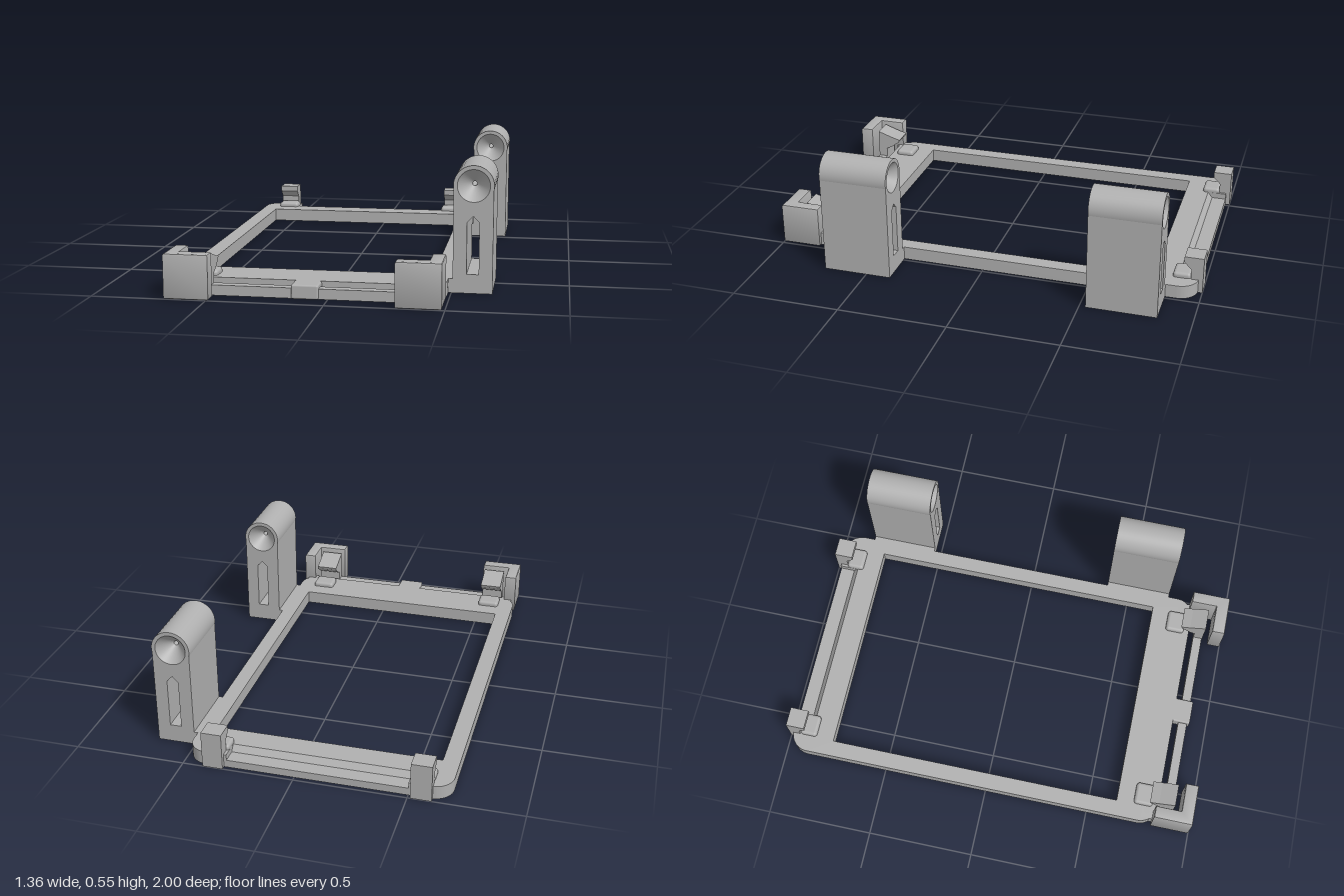
import * as THREE from 'three';
import { toCreasedNormals } from 'three/addons/utils/BufferGeometryUtils.js';
import { RoundedBoxGeometry } from 'three/addons/geometries/RoundedBoxGeometry.js';

const grey = new THREE.MeshStandardMaterial({ color: 0xb0b0b0 });
grey.name = 'grey plastic';

const polygon = (pts) => new THREE.Shape(pts.map(([a, b]) => new THREE.Vector2(a, b)));

export function createModel() {
  const model = new THREE.Group();
  model.name = 'clipFrame';

  const add = (name, geometry, x = 0, y = 0, z = 0) => {
    const mesh = new THREE.Mesh(geometry, grey);
    mesh.name = name;
    mesh.position.set(x, y, z);
    model.add(mesh);
    return mesh;
  };
  // Box given by its minimum and maximum corners
  const box = (name, x0, x1, y0, y1, z0, z1, r = 0) => {
    const s = [x1 - x0, y1 - y0, z1 - z0];
    const g = r ? new RoundedBoxGeometry(...s, 2, r) : new THREE.BoxGeometry(...s);
    return add(name, g, (x0 + x1) / 2, (y0 + y1) / 2, (z0 + z1) / 2);
  };
  // Plan outline drawn as (x, -z), raised along y
  const raise = (shape, height, bevel = 0) => {
    const g = new THREE.ExtrudeGeometry(shape, {
      depth: height - 2 * bevel, bevelEnabled: bevel > 0, bevelSize: bevel,
      bevelThickness: bevel, bevelOffset: -bevel, bevelSegments: 2, curveSegments: 10,
    });
    g.translate(0, 0, bevel).rotateX(-Math.PI / 2);
    return toCreasedNormals(g, 0.6);
  };
  // Side outline given as (z, y), stretched from x0 to x1
  const sweep = (name, pts, x0, x1) => {
    const g = new THREE.ExtrudeGeometry(polygon(pts), { depth: x1 - x0, bevelEnabled: false });
    return add(name, g.rotateY(-Math.PI / 2), x1, 0, 0);
  };

  // Flat frame with rounded corners and a notch at the rear
  const L = -0.682, R = 0.487, B = 0.98, F = -0.832, r = 0.085, T = 0.062;
  const outline = new THREE.Shape();
  outline.moveTo(L + r, F);
  outline.lineTo(R - r, F);
  outline.absarc(R - r, F + r, r, -Math.PI / 2, 0, false);
  outline.lineTo(R, B - r);
  outline.absarc(R - r, B - r, r, 0, Math.PI / 2, false);
  outline.lineTo(0.305, B);
  outline.lineTo(0.305, 0.89);
  outline.lineTo(-0.5, 0.89);
  outline.lineTo(-0.5, B);
  outline.lineTo(L + r, B);
  outline.absarc(L + r, B - r, r, Math.PI / 2, Math.PI, false);
  outline.lineTo(L, F + r);
  outline.absarc(L + r, F + r, r, Math.PI, Math.PI * 1.5, false);
  outline.holes.push(polygon([[-0.607, -0.633], [-0.607, 0.778], [0.417, 0.778], [0.417, -0.633]]));
  add('frame', raise(outline, T));

  // Lowered rear ledge with a sloping back
  sweep('rearLedge', [[-0.98, 0], [-0.89, 0], [-0.89, T], [-0.912, 0.035], [-0.98, 0.035]], -0.5, 0.305);

  // Springy front bar and its middle tab
  box('frontBar', -0.605, 0.41, 0, 0.045, 0.86, 0.903);
  box('frontTab', -0.155, -0.038, 0, T, 0.82, 0.915, 0.008);

  // Clips and pads, mirrored about the centre of the frame
  const cx = (L + R) / 2;
  for (const [side, s] of [['left', 1], ['right', -1]]) {
    const span = (inner, outer) => [cx + s * inner, cx + s * outer].sort((a, b) => a - b);

    sweep(side + 'FrontClip', [[0.86, 0], [0.905, 0], [0.905, 0.183], [0.83, 0.157],
      [0.787, 0.145], [0.792, 0.132], [0.835, 0.1], [0.86, 0.09]], ...span(0.403, 0.507));
    sweep(side + 'RearClip', [[-1, 0], [-0.945, 0], [-0.945, 0.11], [-0.912, 0.143],
      [-0.912, 0.17], [-1, 0.17]], ...span(0.415, 0.507));

    for (const [end, z0, z1] of [['Front', 0.714, 0.805], ['Rear', -0.945, -0.863]]) {
      box(side + end + 'Pad', ...span(0.403, 0.507), 0.04, 0.085, z0, z1, 0.015);
    }

    // L-shaped corner guard and the short neck joining it to the frame
    const guard = [[0.585, -0.815], [0.585, -0.998], [0.392, -0.998], [0.392, -0.937],
      [0.528, -0.937], [0.528, -0.815]].map(([x, y]) => [cx + s * x, y]);
    add(side + 'CornerGuard', raise(polygon(guard), 0.195, 0.008));
    box(side + 'GuardNeck', ...span(0.515, 0.565), 0, T, 0.76, 0.845);
  }

  // Two slotted posts, each carrying a barrel with conical ends
  const px = 0.59, py = 0.465, radius = 0.087, len = 0.317;
  for (const [end, z] of [['front', 0.543], ['rear', -0.687]]) {
    const post = new THREE.Shape();
    post.moveTo(px - 0.085, 0);
    post.lineTo(px + 0.085, 0);
    post.lineTo(px + 0.085, py);
    post.lineTo(px + 0.078, py);
    post.absarc(px, py, 0.078, 0, Math.PI, true);
    post.lineTo(px - 0.085, py);
    post.holes.push(polygon([[0.564, 0.083], [0.564, 0.308], [px, 0.335], [0.616, 0.308], [0.616, 0.083]]));
    const body = new THREE.ExtrudeGeometry(post, { depth: len, bevelEnabled: false, curveSegments: 24 });
    add(end + 'Post', toCreasedNormals(body, 0.6), 0, 0, z - len / 2);

    const h = len / 2, d = h - 0.07;
    const profile = [[radius, -h], [radius, h], [0.07, h], [0.01, d], [0.01, -d], [0.07, -h], [radius, -h]];
    const barrel = new THREE.LatheGeometry(profile.map(([a, b]) => new THREE.Vector2(a, b)), 40);
    add(end + 'Barrel', toCreasedNormals(barrel.rotateX(Math.PI / 2), 0.6), px, py, z);

    box(end + 'PostJoint', 0.47, 0.51, 0, T, z - len / 2, z + len / 2);
  }
  return model;
}
